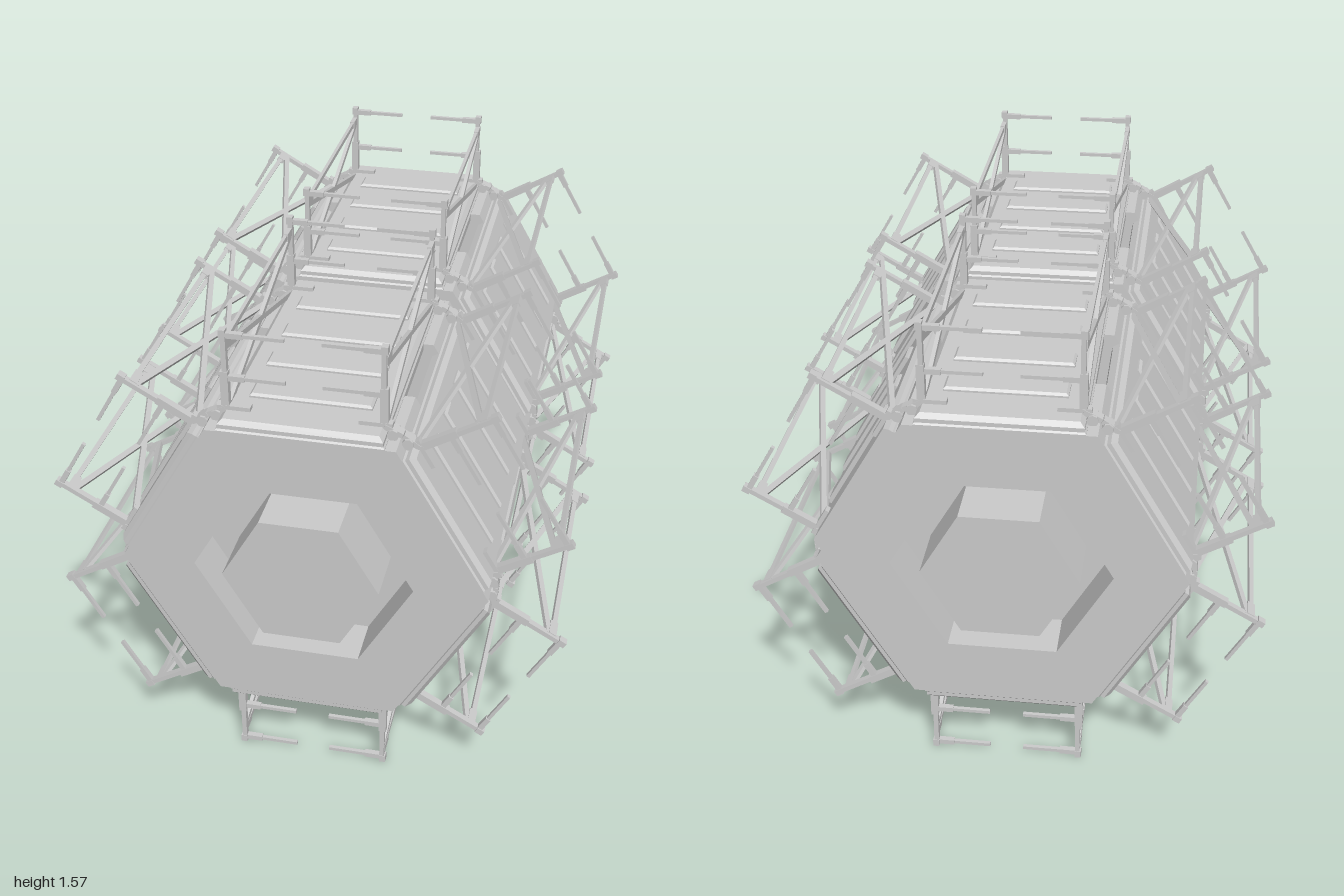
import * as THREE from 'three';

const MAT = new THREE.MeshStandardMaterial({ color: 0xcccccc, flatShading: true });

function add(parent, name, geometry, x = 0, y = 0, z = 0) {
  const mesh = new THREE.Mesh(geometry, MAT);
  mesh.name = name;
  mesh.position.set(x, y, z);
  parent.add(mesh);
  return mesh;
}

const box = (parent, name, w, h, d, x, y, z) =>
  add(parent, name, new THREE.BoxGeometry(w, h, d), x, y, z);

// Corners of a flat-topped hexagon
function hexPoints(r) {
  return Array.from({ length: 6 }, (_, i) =>
    new THREE.Vector2(r * Math.cos(i * Math.PI / 3), r * Math.sin(i * Math.PI / 3)));
}

// Hexagonal prism along z, optionally hollow, centred on its length
function hexPrism(r, length, hole = 0) {
  const shape = new THREE.Shape(hexPoints(r));
  if (hole) shape.holes.push(new THREE.Path(hexPoints(hole)));
  return new THREE.ExtrudeGeometry(shape, { depth: length, bevelEnabled: false })
    .translate(0, 0, -length / 2);
}

// Slab lying in xz with chamfered edges, base at y = 0
function chamferedSlab(w, h, d, c) {
  const a = w / 2 - c, b = d / 2 - c;
  const shape = new THREE.Shape([[-a, -b], [a, -b], [a, b], [-a, b]].map(p => new THREE.Vector2(...p)));
  return new THREE.ExtrudeGeometry(shape, {
    depth: h - 2 * c, bevelSize: c, bevelThickness: c, bevelSegments: 1,
  }).translate(0, 0, c).rotateX(-Math.PI / 2);
}

// Straight square bar between two points in the plane of a frame
function bar(parent, name, x, y1, z1, y2, z2, t) {
  const m = box(parent, name, t * 0.7, t, Math.hypot(y2 - y1, z2 - z1), x, (y1 + y2) / 2, (z1 + z2) / 2);
  m.rotation.x = -Math.atan2(y2 - y1, z2 - z1);
}

// Two posts with inward arms, joined by a rail and a cross brace
function makeFrame(side) {
  const g = new THREE.Group();
  g.name = 'rackFrame';
  const x = side * 0.235, zp = 0.385;
  for (const e of [-1, 1]) {
    const z = e * zp;
    box(g, 'postLower', 0.024, 0.15, 0.024, x, 0.575, z);
    box(g, 'postUpper', 0.015, 0.15, 0.02, x - side * 0.002, 0.71, z);
    box(g, 'postTip', 0.02, 0.025, 0.024, x, 0.773, z);
    for (const y of [0.628, 0.768]) {
      box(g, 'armRoot', 0.06, 0.017, 0.018, x - side * 0.03, y, z);
      box(g, 'armTip', 0.125, 0.011, 0.012, x - side * 0.118, y, z);
    }
    // Hinge foot clamped on the panel edge
    box(g, 'foot', 0.1, 0.016, 0.026, side * 0.21, 0.53, z);
    const knuckle = add(g, 'hinge', new THREE.CylinderGeometry(0.018, 0.018, 0.045, 8), side * 0.262, 0.505, z);
    knuckle.rotation.x = Math.PI / 2;
    const strap = box(g, 'hingeStrap', 0.06, 0.016, 0.03, side * 0.262, 0.515, z);
    strap.rotation.z = -side * 0.45;
    box(g, 'railBracket', 0.016, 0.026, 0.06, x, 0.735, e * (zp - 0.03));
    bar(g, 'crossBrace', x, 0.725, z, 0.51, -z, 0.018);
  }
  bar(g, 'topRail', x, 0.737, -zp, 0.737, zp, 0.016);
  return g;
}

// One of the six sides of a module: panel, ribs and rack; y points outward
function makeFacet() {
  const g = new THREE.Group();
  g.name = 'facet';
  add(g, 'sidePanel', chamferedSlab(0.49, 0.075, 0.92, 0.014), 0, 0.45, 0);
  add(g, 'panelFrame', chamferedSlab(0.5, 0.05, 0.93, 0.012), 0, 0.455, 0);
  for (let i = 0; i < 4; i++) {
    add(g, 'panelRib', chamferedSlab(0.37, 0.03, 0.078, 0.007), 0, 0.508, (i - 1.5) * 0.186);
  }
  g.add(makeFrame(1), makeFrame(-1));
  return g;
}

function makeModule() {
  const g = new THREE.Group();
  g.name = 'hullModule';
  // End blocks with a sunken hexagonal opening; the middle stays open at the corners
  for (const e of [-1, 1]) {
    add(g, 'endBlock', hexPrism(0.566, 0.305, 0.34), 0, 0, e * 0.3125);
    add(g, 'recessFloor', hexPrism(0.345, 0.14), 0, 0, e * 0.235);
  }
  for (let i = 0; i < 6; i++) {
    const facet = makeFacet();
    facet.rotation.z = i * Math.PI / 3;
    g.add(facet);
  }
  return g;
}

export function createModel() {
  const model = new THREE.Group();
  model.name = 'hexagonalCargoRack';
  const body = new THREE.Group();
  body.name = 'body';
  body.position.y = 0.786;
  model.add(body);

  // Core running through both modules
  add(body, 'core', hexPrism(0.242, 2));
  for (const e of [-1, 1]) {
    const m = makeModule();
    m.position.z = e * 0.5;
    body.add(m);
  }
  return model;
}
